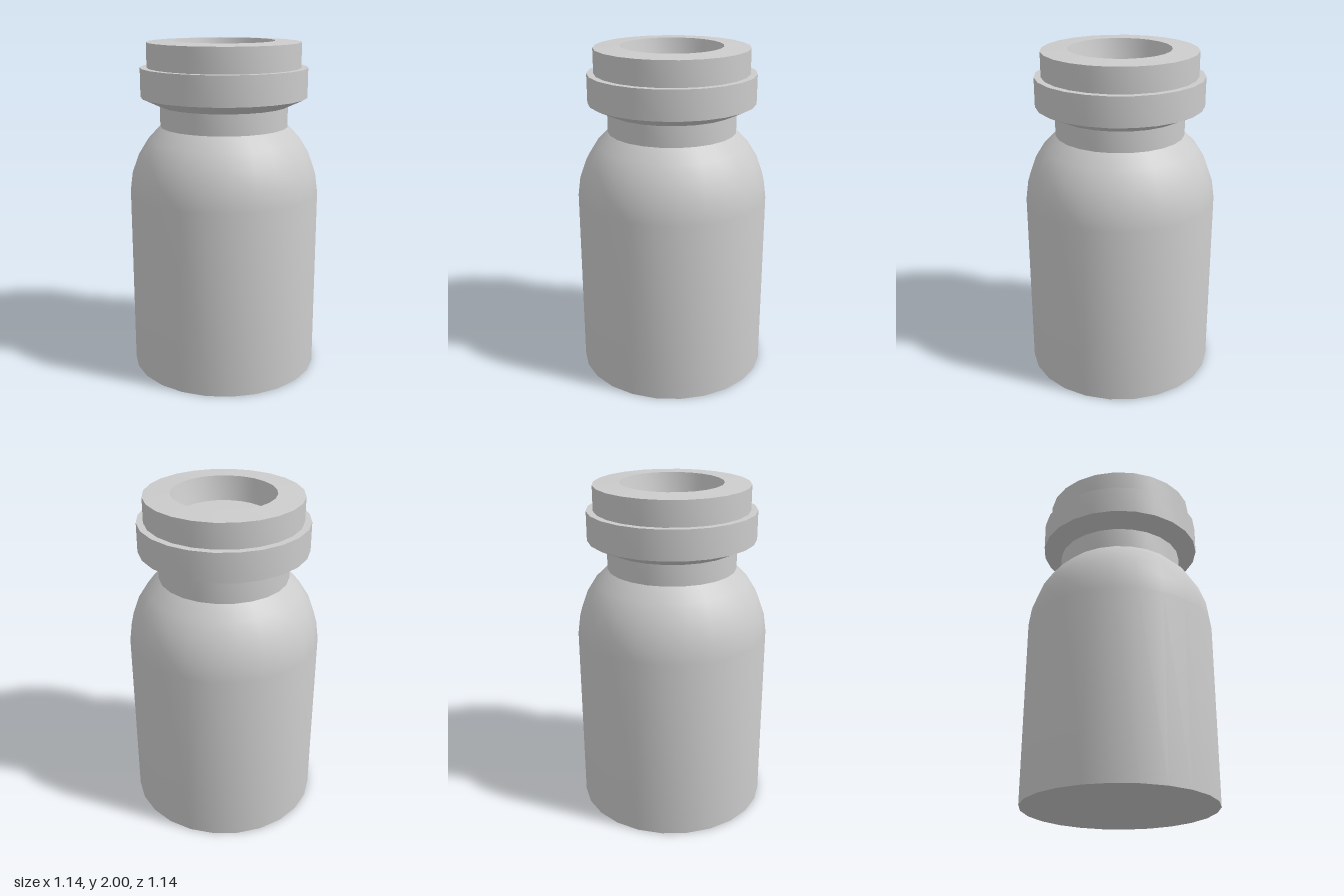
import * as THREE from 'three';
import { toCreasedNormals } from 'three/addons/utils/BufferGeometryUtils.js';

const SIDES = 24;
const material = new THREE.MeshStandardMaterial({ color: 0xcccccc });

// Revolve a profile of [radius, height] pairs, keeping sharp rims
function turned(name, profile) {
  const points = profile.map(([r, y]) => new THREE.Vector2(r, y));
  const geometry = toCreasedNormals(new THREE.LatheGeometry(points, SIDES), 0.6);
  const mesh = new THREE.Mesh(geometry, material);
  mesh.name = name;
  return mesh;
}

export function createModel() {
  const vial = new THREE.Group();
  vial.name = 'vial';

  // Flat base, straight wall and rounded shoulder
  vial.add(turned('body', [
    [0, 0], [0.57, 0], [0.57, 1.11], [0.555, 1.22],
    [0.515, 1.33], [0.456, 1.425], [0.382, 1.5],
  ]));

  // Narrow neck
  vial.add(turned('neck', [[0.382, 1.5], [0.382, 1.623]]));

  // Wide collar with a bevelled underside
  vial.add(turned('collar', [
    [0.382, 1.623], [0.495, 1.676], [0.495, 1.847], [0.455, 1.847],
  ]));

  // Stopper: slightly domed rim around a tapered recess
  vial.add(turned('stopper', [
    [0.455, 1.847], [0.455, 1.992], [0.3, 2], [0.27, 1.86], [0, 1.86],
  ]));

  return vial;
}
